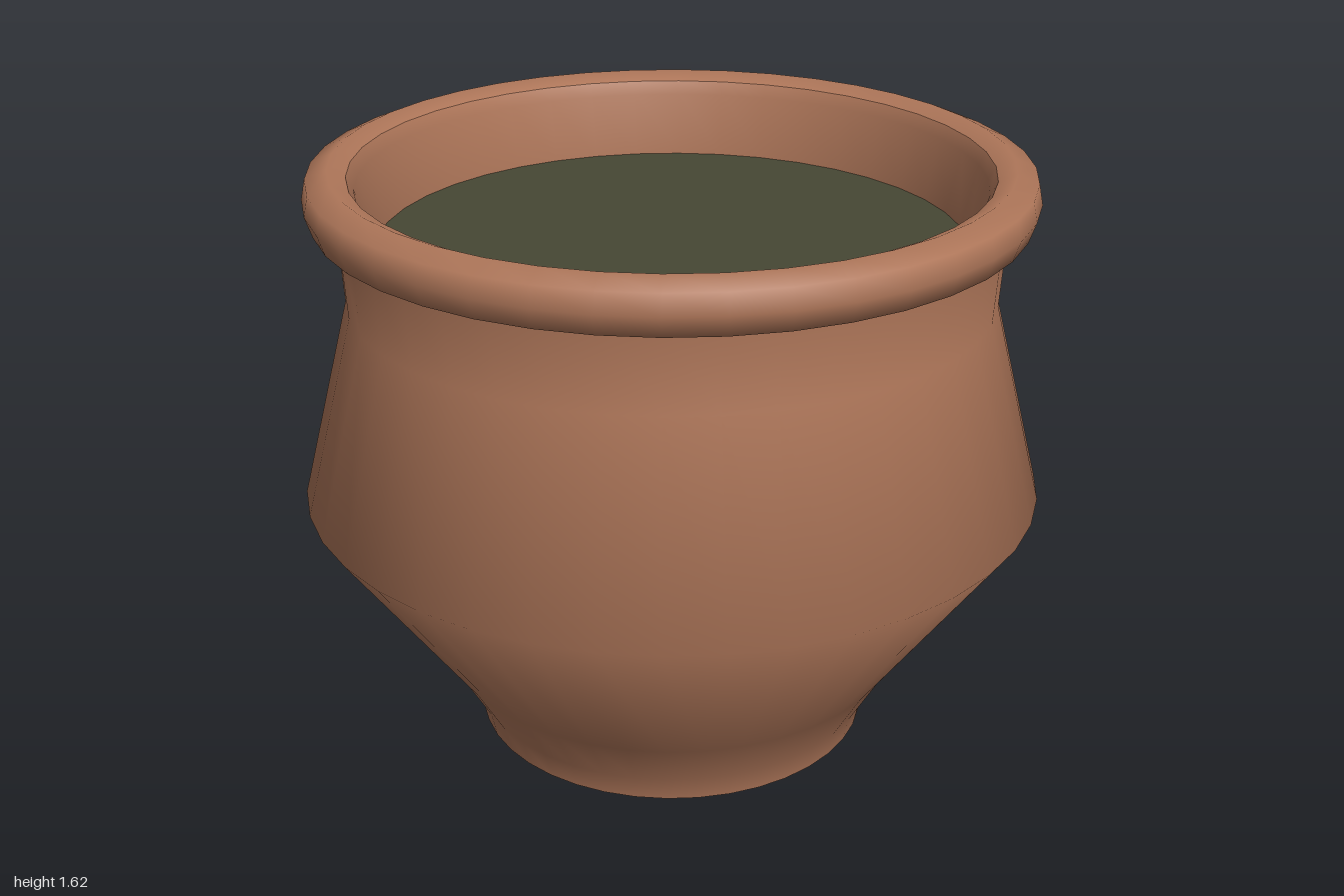
import * as THREE from 'three';

const SEGMENTS = 40;

export function createModel() {
  const group = new THREE.Group();
  const terracotta = new THREE.MeshStandardMaterial({ color: 0xae7659, side: THREE.DoubleSide });
  terracotta.name = 'terracotta';
  const soilColour = new THREE.MeshStandardMaterial({ color: 0x464734, side: THREE.DoubleSide });
  soilColour.name = 'dark soil';

  const add = (name, geometry, material) => {
    const mesh = new THREE.Mesh(geometry, material);
    mesh.name = name;
    group.add(mesh);
    return mesh;
  };
  // Profiles are [radius, height] pairs; outer surfaces run upward, inner ones downward
  const lathe = (name, profile) =>
    add(name, new THREE.LatheGeometry(profile.map(([r, y]) => new THREE.Vector2(r, y)), SEGMENTS), terracotta);

  // Outer wall, open at the foot
  lathe('body', [[0.545, 0], [0.56, 0.07], [0.64, 0.21], [1, 0.715], [0.86, 1.26], [0.873, 1.48]]);

  // Rounded rim
  lathe('rim', [
    [0.865, 1.472], [0.935, 1.486], [0.953, 1.54], [0.942, 1.593],
    [0.885, 1.617], [0.838, 1.595],
  ]);

  // Inner wall from the rim down past the soil, ending above the open foot
  lathe('innerWall', [
    [0.838, 1.595], [0.82, 1.56], [0.78, 1.39], [0.785, 1.26], [0.94, 0.715], [0.665, 0.305],
  ]);

  // Soil surface
  const soil = add('soil', new THREE.CircleGeometry(0.783, SEGMENTS), soilColour);
  soil.rotation.x = -Math.PI / 2;
  soil.position.y = 1.39;

  return group;
}
